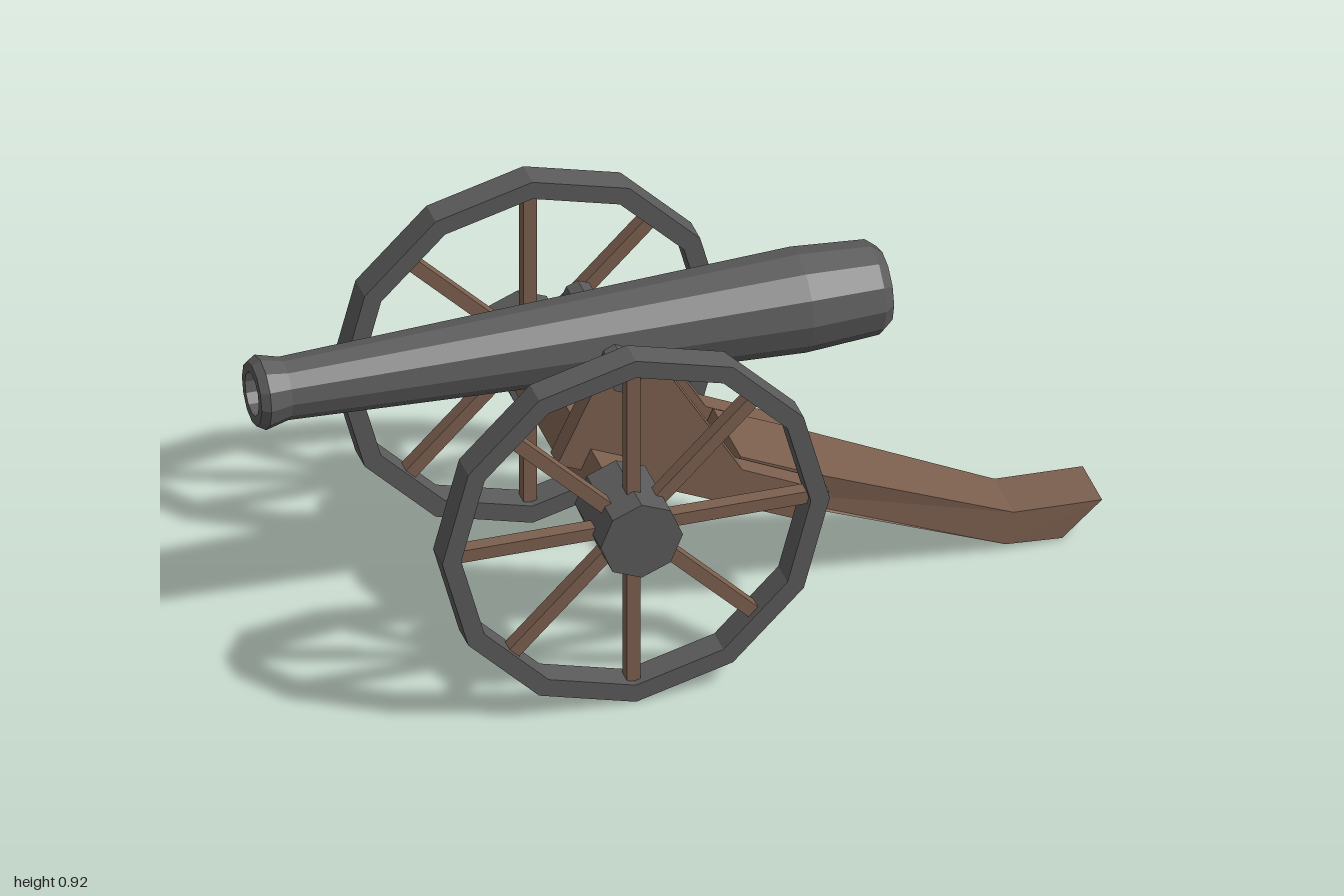
import * as THREE from 'three';

const iron = new THREE.MeshStandardMaterial({ color: 0x5a5a5a, flatShading: true });
const wood = new THREE.MeshStandardMaterial({ color: 0x7b5f4e, flatShading: true });

const AXLE = { x: -0.22, y: 0.465 };
const SLOPE = -0.42; // tilt of the carriage

function add(parent, name, geometry, material, x = 0, y = 0, z = 0) {
  const mesh = new THREE.Mesh(geometry, material);
  mesh.name = name;
  mesh.position.set(x, y, z);
  parent.add(mesh);
  return mesh;
}

// Outline in x/y, extruded along z and centred on z = 0
function slab(points, depth) {
  const shape = new THREE.Shape(points.map(([x, y]) => new THREE.Vector2(x, y)));
  return new THREE.ExtrudeGeometry(shape, { depth, bevelEnabled: false }).translate(0, 0, -depth / 2);
}

// Faceted cylinder lying along z
function rod(radius, length, sides) {
  return new THREE.CylinderGeometry(radius, radius, length, sides).rotateX(Math.PI / 2);
}

function polygon(radius, sides) {
  return Array.from({ length: sides }, (_, i) => {
    const a = (i / sides) * Math.PI * 2;
    return new THREE.Vector2(Math.cos(a) * radius, Math.sin(a) * radius);
  });
}

function makeWheel(name, z) {
  const wheel = new THREE.Group();
  wheel.name = name;
  wheel.position.set(AXLE.x, AXLE.y, z);

  // Twelve-sided rim
  const rim = new THREE.Shape(polygon(0.461, 12));
  rim.holes.push(new THREE.Path(polygon(0.416, 12)));
  const rimGeometry = new THREE.ExtrudeGeometry(rim, { depth: 0.07, bevelEnabled: false });
  add(wheel, 'rim', rimGeometry.translate(0, 0, -0.035), iron);

  // Hub and eight spokes
  add(wheel, 'hub', rod(0.098, 0.196, 8), iron, 0, 0, Math.sign(z) * -0.02 + Math.sign(z) * 0.0);
  for (let i = 0; i < 8; i++) {
    const spoke = add(wheel, 'spoke', new THREE.BoxGeometry(0.36, 0.032, 0.035).translate(0.24, 0, 0), wood);
    spoke.rotation.z = (i * Math.PI) / 4;
  }
  return wheel;
}

export function createModel() {
  const model = new THREE.Group();
  model.name = 'fieldCannon';

  // Barrel with hollow bore, flared muzzle and pointed breech: [radius, x]
  const profile = [
    [0, -0.6], [0.052, -0.6], [0.052, -1], [0.075, -1], [0.087, -0.98], [0.073, -0.925],
    [0.122, 0.3], [0.11, 0.475], [0.09, 0.5], [0, 0.522],
  ].map(([r, x]) => new THREE.Vector2(r, x));
  const barrel = new THREE.LatheGeometry(profile, 12).rotateZ(-Math.PI / 2);
  add(model, 'barrel', barrel, iron, 0, 0.727, 0);
  add(model, 'trunnion', rod(0.039, 0.366, 8), iron, -0.167, 0.718, 0);

  // Tilted square axle
  add(model, 'axle', new THREE.BoxGeometry(0.102, 0.102, 0.6), wood, AXLE.x, AXLE.y, 0).rotation.z = SLOPE;

  // Cheeks carrying the barrel
  const cheek = [
    [-0.325, 0.505], [0.287, 0.227], [0.322, 0.306], [0.115, 0.405], [-0.07, 0.715], [-0.225, 0.715],
  ];
  // Wheels and cheeks on both sides
  for (const [side, s] of [['left', 1], ['right', -1]]) {
    const z = s;
    add(model, side + 'Cheek', slab(cheek, 0.054), wood, 0, 0, z * 0.138);
    const wheel = makeWheel(side + 'Wheel', z * 0.39);
    model.add(wheel);
  }

  // Trail, narrowing towards the ground
  const trail = slab([
    [0.095, 0.32], [0.275, 0.235], [0.77, 0.018], [0.905, 0.008],
    [1, 0.093], [0.79, 0.1], [0.31, 0.317], [0.13, 0.4],
  ], 2);
  const p = trail.attributes.position;
  for (let i = 0; i < p.count; i++) {
    const t = THREE.MathUtils.clamp((p.getX(i) - 0.31) / 0.47, 0, 1);
    p.setZ(i, p.getZ(i) * THREE.MathUtils.lerp(0.105, 0.073, t));
  }
  trail.computeVertexNormals();
  add(model, 'trail', trail, wood);

  return model;
}
